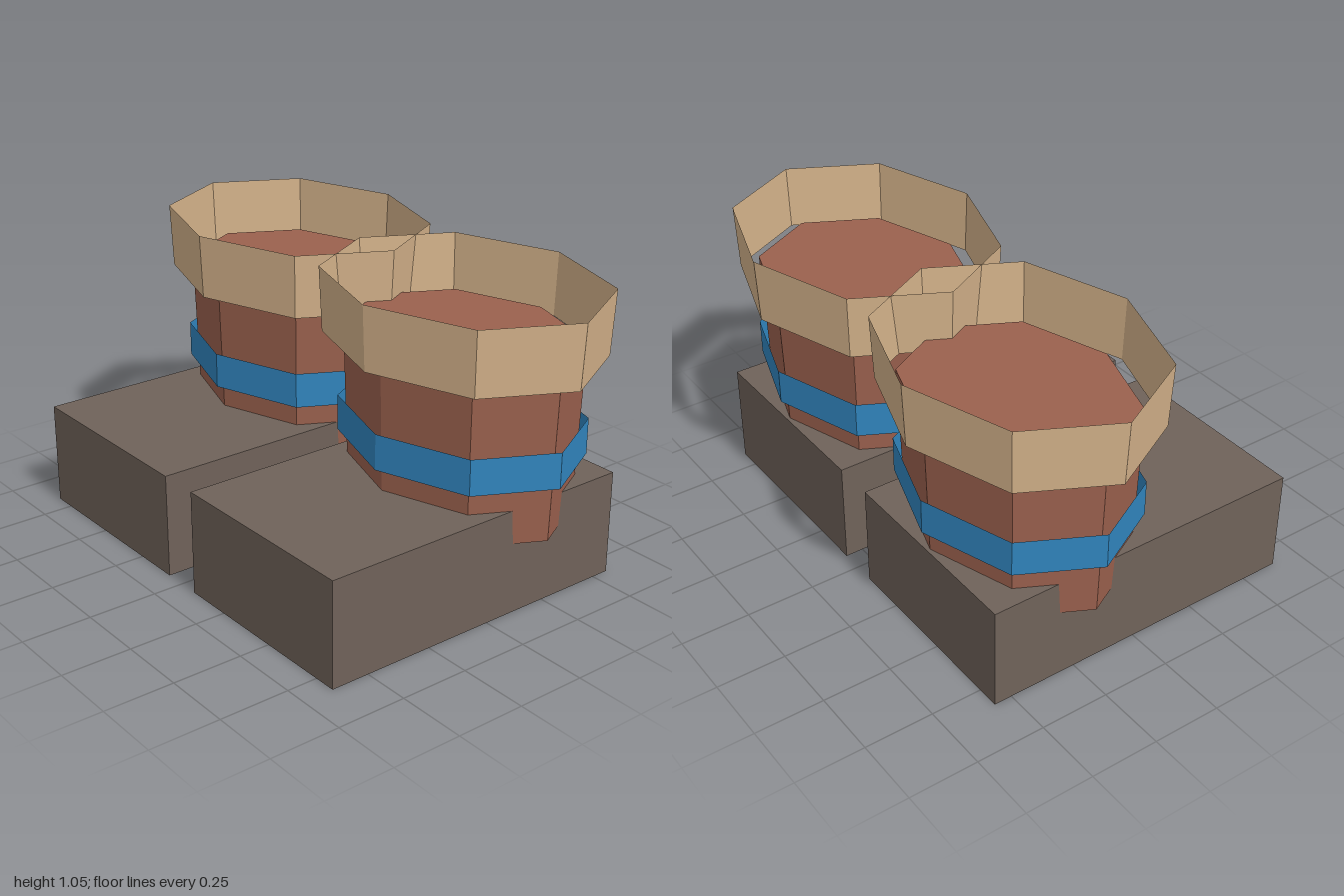
import * as THREE from 'three';

const mat = (name, color, side = THREE.FrontSide) =>
  new THREE.MeshStandardMaterial({ name, color, side, flatShading: true });

export function createModel() {
  const sole = mat('dark grey brown', 0x6f6259);
  const leather = mat('red brown leather', 0x9b614e);
  const blue = mat('blue strap', 0x3185be, THREE.DoubleSide);
  const tan = mat('tan cuff', 0xd4b28a, THREE.DoubleSide);

  const DEPTH = 0.79; // the octagons are narrower front to back
  const LEG_Z = -0.208;

  const model = new THREE.Group();
  model.name = 'boots';

  const makeBoot = (name, x) => {
    const boot = new THREE.Group();
    boot.name = name;
    boot.position.x = x;

    // eight-sided tapered ring between two heights
    const octagon = (part, material, rTop, rBottom, y0, y1, open) => {
      const g = new THREE.CylinderGeometry(rTop, rBottom, y1 - y0, 8, 1, open);
      g.scale(1, 1, DEPTH);
      const mesh = new THREE.Mesh(g, material);
      mesh.name = part;
      mesh.position.set(0, (y0 + y1) / 2, LEG_Z);
      boot.add(mesh);
    };

    // foot block
    const foot = new THREE.Mesh(new THREE.BoxGeometry(0.755, 0.378, 1.205), sole);
    foot.name = 'foot';
    foot.position.set(0, 0.189, 0.0375);
    boot.add(foot);

    // leg, strap and flared open cuff
    octagon('leg', leather, 0.453, 0.432, 0.257, 0.863, false);
    octagon('strap', blue, 0.474, 0.474, 0.46, 0.588, true);
    octagon('cuff', tan, 0.547, 0.535, 0.817, 1.046, true);
    model.add(boot);
  };

  makeBoot('leftBoot', 0.453);
  makeBoot('rightBoot', -0.453);
  return model;
}
